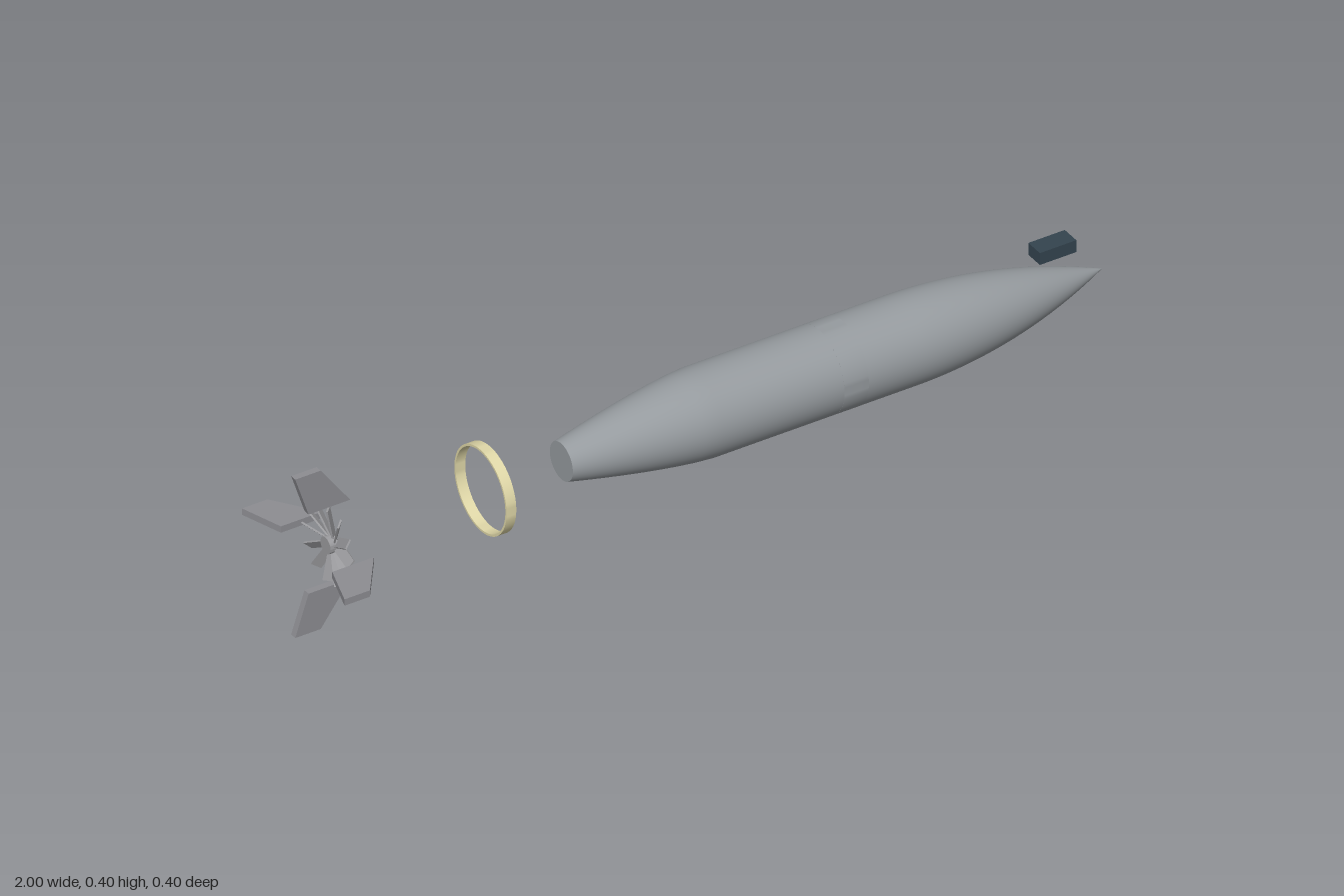
import * as THREE from 'three';
import { toCreasedNormals } from 'three/addons/utils/BufferGeometryUtils.js';

const AXIS_Y = 0.2;
const paint = (color) => new THREE.MeshStandardMaterial({ color });
const hullGrey = paint(0x969b9f);
const finGrey = paint(0x8d8d92);
const fanGrey = paint(0x9c9c9f);
const cream = paint(0xe0d8a8);
const slate = paint(0x34444f);

function part(name, geometry, material) {
  const mesh = new THREE.Mesh(geometry, material);
  mesh.name = name;
  return mesh;
}

// Revolve [x, radius] pairs (tail to nose) around the long axis
function revolve(profile, segments = 64) {
  const points = profile.map(([x, r]) => new THREE.Vector2(r, x));
  return new THREE.LatheGeometry(points, segments).rotateZ(-Math.PI / 2);
}

const band = (x0, x1, inner, outer) => toCreasedNormals(
  revolve([[x0, inner], [x0, outer], [x1, outer], [x1, inner], [x0, inner]]), 0.6);

// Hull: curved boat-tail, straight middle, ogive nose
function hullProfile() {
  const pts = [];
  for (let i = 8; i >= 0; i--) {
    const t = i / 8;
    pts.push([-0.337 * t, 0.1 - 0.055 * t ** 1.35]);
  }
  const length = 0.5, R = (length ** 2 + 0.01) / 0.2;
  for (let i = 0; i <= 20; i++) {
    const d = (length * i) / 20;
    pts.push([0.5 + d, Math.max(0, Math.sqrt(R * R - d * d) + 0.1 - R)]);
  }
  return pts;
}

function finGeometry() {
  const shape = new THREE.Shape([
    [-0.967, 0.1], [-0.864, 0.1], [-0.937, 0.2], [-1, 0.2],
  ].map(([x, y]) => new THREE.Vector2(x, y)));
  return new THREE.ExtrudeGeometry(shape, { depth: 0.016, bevelEnabled: false })
    .translate(0, 0, -0.008);
}

// Pitched fan blade, swept slightly back toward its tip
function bladeGeometry() {
  const geo = new THREE.BoxGeometry(0.023, 0.075, 0.004);
  geo.rotateY(Math.PI / 4).translate(0, 0.0525, 0);
  const p = geo.attributes.position;
  for (let i = 0; i < p.count; i++) p.setX(i, p.getX(i) - 0.897 - 0.19 * p.getY(i));
  geo.computeVertexNormals();
  return geo;
}

export function createModel() {
  const model = new THREE.Group();
  model.name = 'explodedTorpedo';
  const axis = new THREE.Group();
  axis.name = 'axialParts';
  axis.position.y = AXIS_Y;
  model.add(axis);

  // Hull with its flat tail and flush seam band
  axis.add(part('hull', revolve(hullProfile()), hullGrey));
  const tail = part('hullTail', new THREE.CircleGeometry(0.045, 64), hullGrey);
  tail.rotation.y = -Math.PI / 2;
  tail.position.x = -0.337;
  axis.add(tail);
  axis.add(part('hullBand', band(0.3, 0.36, 0.095, 0.1001), hullGrey));
  axis.add(part('sealRing', band(-0.537, -0.513, 0.097, 0.102), cream));

  // Four tail fins
  const fins = new THREE.Group();
  fins.name = 'tailFins';
  const finGeo = finGeometry();
  for (let i = 0; i < 4; i++) {
    const fin = part('tailFin', finGeo, finGrey);
    fin.rotation.x = (i * Math.PI) / 2;
    fins.add(fin);
  }
  axis.add(fins);

  // Fan with a small hub
  const fan = new THREE.Group();
  fan.name = 'fan';
  const hubGeo = revolve([[-0.92, 0], [-0.92, 0.02], [-0.9, 0.02], [-0.888, 0]], 16);
  fan.add(part('fanHub', toCreasedNormals(hubGeo, 0.6), fanGrey));
  const bladeGeo = bladeGeometry();
  for (let i = 0; i < 12; i++) {
    const blade = part('fanBlade', bladeGeo, fanGrey);
    blade.rotation.x = (i * Math.PI) / 6;
    fan.add(blade);
  }
  axis.add(fan);

  // Detached module above the nose
  const box = part('noseModule', new THREE.BoxGeometry(0.09, 0.03, 0.045), slate);
  box.position.set(0.877, 0.298, 0);
  model.add(box);

  return model;
}
